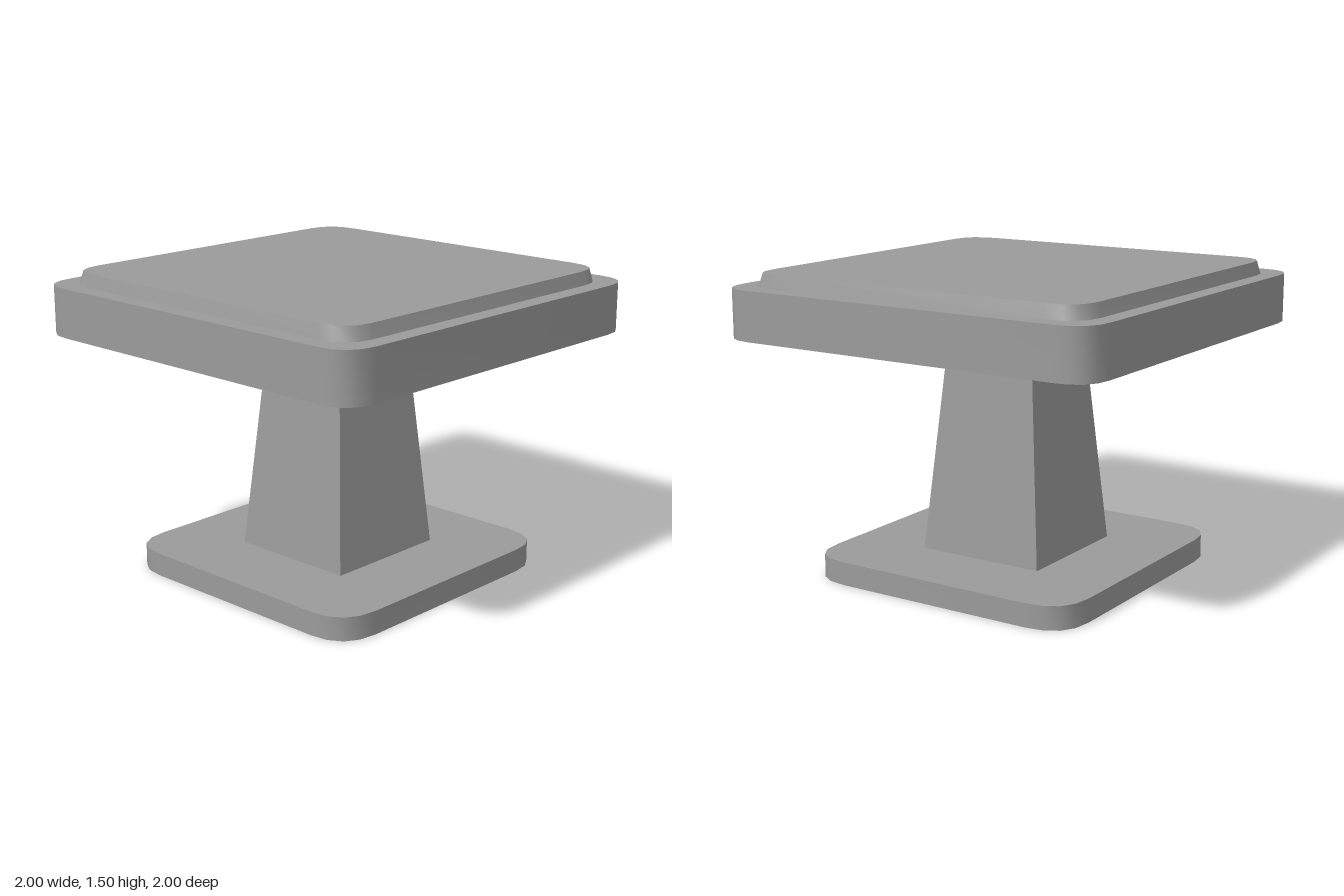
import * as THREE from 'three';
import { toCreasedNormals } from 'three/addons/utils/BufferGeometryUtils.js';

const material = new THREE.MeshStandardMaterial({ color: 0x9b9b9b });

// Square with softly curved corners, centred on the origin
function roundedSquare(half, corner) {
  const shape = new THREE.Shape();
  const c = half - corner;
  shape.moveTo(half, -c);
  shape.lineTo(half, c);
  shape.quadraticCurveTo(half, half, c, half);
  shape.lineTo(-c, half);
  shape.quadraticCurveTo(-half, half, -half, c);
  shape.lineTo(-half, -c);
  shape.quadraticCurveTo(-half, -half, -c, -half);
  shape.lineTo(c, -half);
  shape.quadraticCurveTo(half, -half, half, -c);
  return shape;
}

// Upright rounded slab from y0 to y1 whose top may be narrower than its foot
function slab(name, half, corner, y0, y1, topHalf = half) {
  const geometry = new THREE.ExtrudeGeometry(roundedSquare(half, corner), {
    depth: y1 - y0, bevelEnabled: false, curveSegments: 4,
  });
  geometry.rotateX(-Math.PI / 2);
  geometry.translate(0, y0, 0);
  const p = geometry.attributes.position;
  const mid = (y0 + y1) / 2;
  for (let i = 0; i < p.count; i++) {
    if (p.getY(i) < mid) continue;
    p.setX(i, p.getX(i) * topHalf / half);
    p.setZ(i, p.getZ(i) * topHalf / half);
  }
  const mesh = new THREE.Mesh(toCreasedNormals(geometry, 0.6), material);
  mesh.name = name;
  return mesh;
}

// Four-sided tapering column
function taperedStem(bottomHalf, topHalf, y0, y1) {
  const geometry = new THREE.CylinderGeometry(
    topHalf * Math.SQRT2, bottomHalf * Math.SQRT2, y1 - y0, 4, 1);
  geometry.rotateY(Math.PI / 4);
  geometry.translate(0, (y0 + y1) / 2, 0);
  const mesh = new THREE.Mesh(toCreasedNormals(geometry, 0.5), material);
  mesh.name = 'stem';
  return mesh;
}

export function createModel() {
  const model = new THREE.Group();
  model.name = 'squareKnob';
  model.add(
    slab('basePlate', 0.73, 0.21, 0, 0.115),
    taperedStem(0.33, 0.235, 0.115, 1.2),
    slab('headSlab', 1, 0.17, 1.2, 1.44),
    slab('raisedPanel', 0.91, 0.16, 1.44, 1.505, 0.895),
  );
  return model;
}
